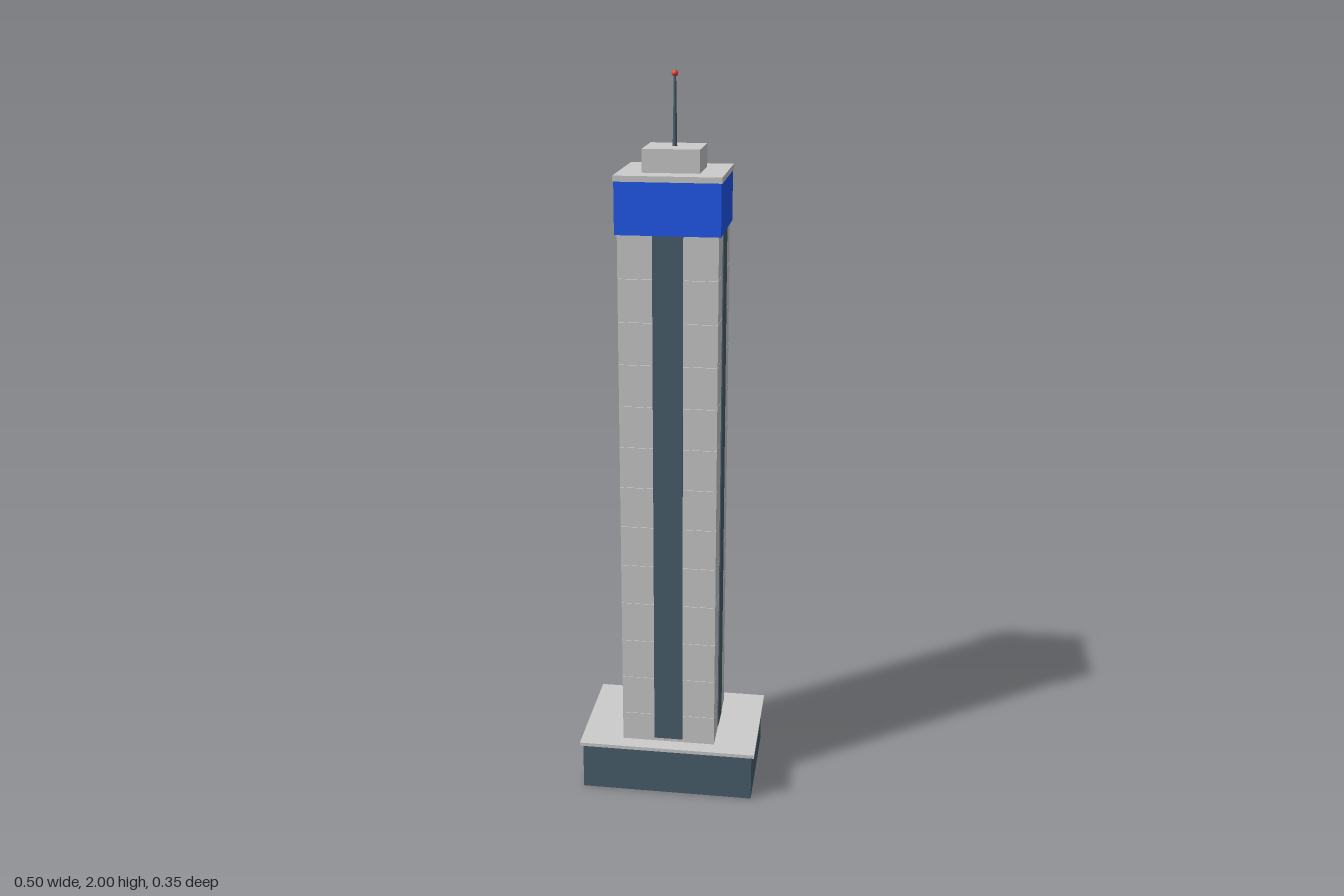
import * as THREE from 'three';

const paint = (color) => new THREE.MeshStandardMaterial({ color });

export function createModel() {
  const tower = new THREE.Group();
  tower.name = 'tower';
  const grey = paint(0xcccccc);
  const glass = paint(0x4a5f6d);
  const blue = paint(0x2058f0);
  const red = paint(0xe74c3c);

  const add = (name, geometry, material, x, y, z, parent = tower) => {
    const mesh = new THREE.Mesh(geometry, material);
    mesh.name = name;
    mesh.position.set(x, y, z);
    parent.add(mesh);
    return mesh;
  };
  // Box standing on y0 and reaching y1
  const block = (name, material, w, d, y0, y1, x = 0, z = 0, parent = tower) =>
    add(name, new THREE.BoxGeometry(w, y1 - y0, d), material, x, (y0 + y1) / 2, z, parent);

  // Podium with an overhanging roof slab
  block('podium', glass, 0.484, 0.334, 0, 0.135);
  block('podiumRoof', grey, 0.5, 0.35, 0.135, 0.145);

  // Stacked storeys with hairline joints
  const storeys = new THREE.Group();
  storeys.name = 'storeys';
  tower.add(storeys);
  const count = 14, pitch = 1.6 / count, joint = 0.001;
  for (let i = 0; i < count; i++) {
    block(`storey${i + 1}`, grey, 0.262, 0.262, i * pitch + joint, (i + 1) * pitch, 0, 0, storeys);
  }

  // Vertical window strips on the front and the +x side
  block('frontWindowStrip', glass, 0.08, 0.006, 0.155, 1.6, 0, 0.131);
  block('sideWindowStrip', glass, 0.006, 0.08, 0.155, 1.6, 0.131, 0);

  // Crown, roof and plant room
  block('crownBand', blue, 0.274, 0.274, 1.6, 1.735);
  block('roofSlab', grey, 0.278, 0.278, 1.735, 1.75);
  block('plantRoom', grey, 0.15, 0.15, 1.75, 1.81);

  // Tapered antenna with a warning light
  add('antenna', new THREE.CylinderGeometry(0.003, 0.006, 0.182, 12), glass, 0, 1.901, 0);
  add('warningLight', new THREE.SphereGeometry(0.0085, 16, 12), red, 0, 1.9915, 0);

  return tower;
}
